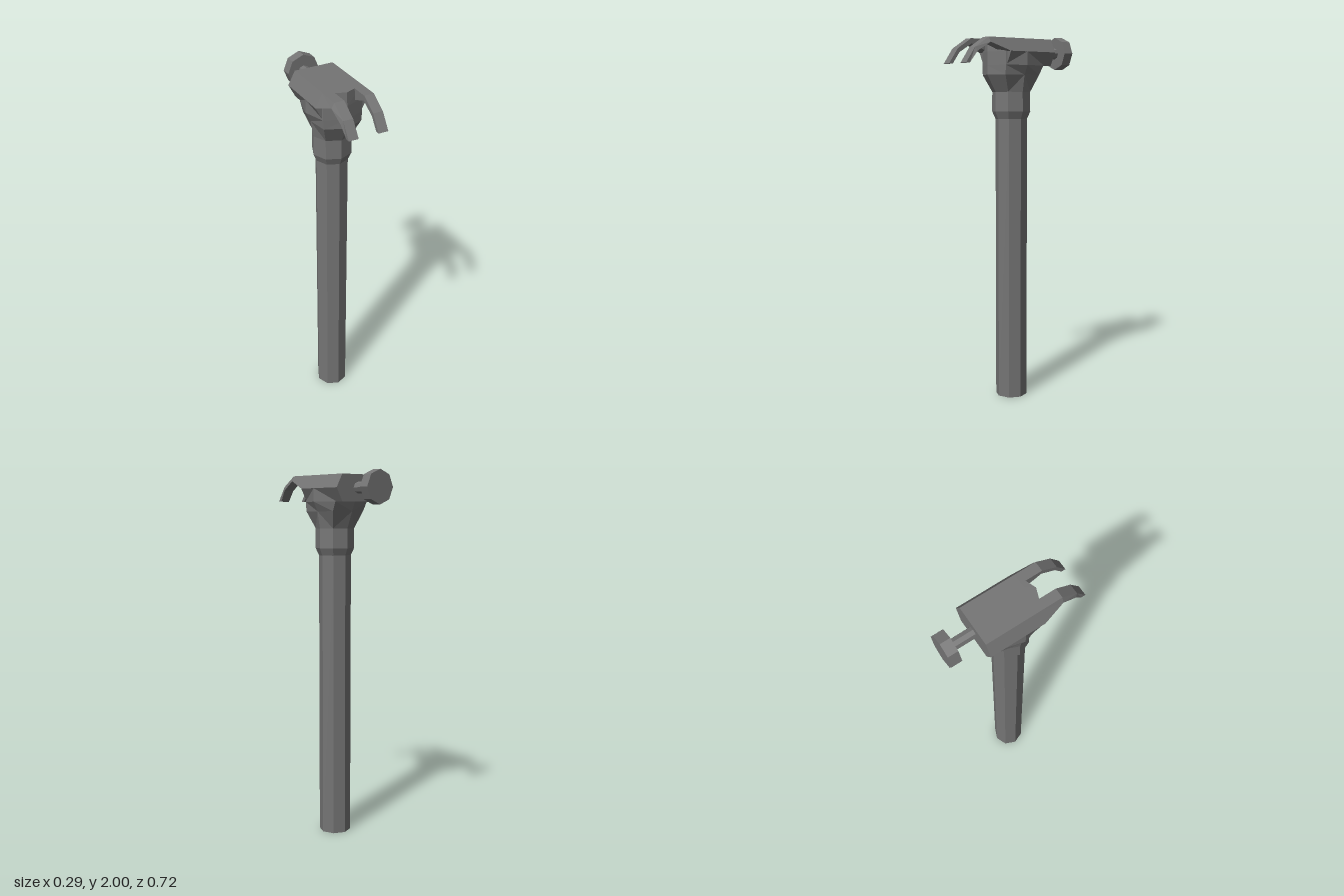
import * as THREE from 'three';

const material = new THREE.MeshStandardMaterial({ color: 0x747474, flatShading: true });

function addMesh(parent, name, geometry) {
  const mesh = new THREE.Mesh(geometry, material);
  mesh.name = name;
  parent.add(mesh);
  return mesh;
}

const distance = (a, b) => Math.hypot(a[0] - b[0], a[1] - b[1], a[2] - b[2]);

// Skins a list of convex rings (counter-clockwise seen from the last one) and caps both ends.
// Each quad is split along its shorter diagonal, so mirrored sides match.
function loft(rings) {
  const n = rings[0].length, last = rings.length - 1, out = [];
  const tri = (a, b, c) => out.push(...a, ...b, ...c);
  for (let i = 0; i < last; i++) {
    for (let j = 0; j < n; j++) {
      const k = (j + 1) % n;
      const a = rings[i][j], b = rings[i][k], c = rings[i + 1][k], d = rings[i + 1][j];
      if (distance(a, c) < distance(b, d)) {
        tri(a, b, c);
        tri(a, c, d);
      } else {
        tri(a, b, d);
        tri(b, c, d);
      }
    }
  }
  for (let j = 1; j < n - 1; j++) {
    tri(rings[0][0], rings[0][j + 1], rings[0][j]);
    tri(rings[last][0], rings[last][j], rings[last][j + 1]);
  }
  const geometry = new THREE.BufferGeometry();
  geometry.setAttribute('position', new THREE.Float32BufferAttribute(out, 3));
  geometry.computeVertexNormals();
  return geometry;
}

// Eight-sided horizontal ring: side reach, front and back reach, and the diagonal corners.
function ring(y, side, front, back, cornerX, cornerFront, cornerBack) {
  return [
    [0, y, front], [cornerX, y, cornerFront], [side, y, 0], [cornerX, y, -cornerBack],
    [0, y, -back], [-cornerX, y, -cornerBack], [-side, y, 0], [-cornerX, y, cornerFront],
  ];
}

function regularRing(y, r) {
  const d = r * Math.SQRT1_2;
  return ring(y, r, r, r, d, d, d);
}

export function createModel() {
  const group = new THREE.Group();
  group.name = 'clawHammer';

  // Straight octagonal handle
  const handle = addMesh(group, 'handle', new THREE.CylinderGeometry(0.087, 0.087, 1.56, 8));
  handle.position.set(0, 0.78, -0.003);

  // Collar flaring out into the socket under the head
  const socket = addMesh(group, 'collarAndSocket', loft([
    regularRing(1.555, 0.087),
    regularRing(1.595, 0.105),
    regularRing(1.7, 0.104),
    ring(1.79, 0.12, 0.157, 0.142, 0.105, 0.114, 0.11),
    ring(1.84, 0.145, 0.157, 0.165, 0.109, 0.114, 0.135),
    ring(1.91, 0.145, 0.157, 0.18, 0.109, 0.114, 0.14),
    ring(1.98, 0.107, 0.152, 0.18, 0.1, 0.114, 0.14),
  ]));
  socket.position.z = -0.002;

  // Six-sided head block
  const headSection = [[-0.107, 1.84], [0.107, 1.84], [0.145, 1.91], [0.107, 1.98], [-0.107, 1.98], [-0.145, 1.91]];
  addMesh(group, 'head', loft([-0.19, 0.105].map((z) => headSection.map(([x, y]) => [x, y, z]))));

  // Two curved claws: [top z, top y, underside z, underside y, lower outer x]
  const stations = [
    [0.105, 1.98, 0.105, 1.91, 0.145],
    [0.22, 1.98, 0.217, 1.953, 0.121],
    [0.305, 1.925, 0.295, 1.905, 0.115],
    [0.36, 1.845, 0.337, 1.845, 0.107],
  ];
  for (const [name, s] of [['leftClaw', 1], ['rightClaw', -1]]) {
    addMesh(group, name, loft(stations.map(([tz, ty, bz, by, outer]) => {
      const section = [[0.054 * s, by, bz], [outer * s, by, bz], [0.107 * s, ty, tz], [0.054 * s, ty, tz]];
      return s > 0 ? section : section.reverse();
    })));
  }

  // Neck and striking face at the back
  for (const [name, r, z0, z1] of [['neck', 0.03, -0.31, -0.18], ['strikingFace', 0.0885, -0.36, -0.305]]) {
    const part = addMesh(group, name, new THREE.CylinderGeometry(r, r, z1 - z0, 8));
    part.rotation.x = Math.PI / 2;
    part.position.set(0, 1.9115, (z0 + z1) / 2);
  }

  return group;
}
